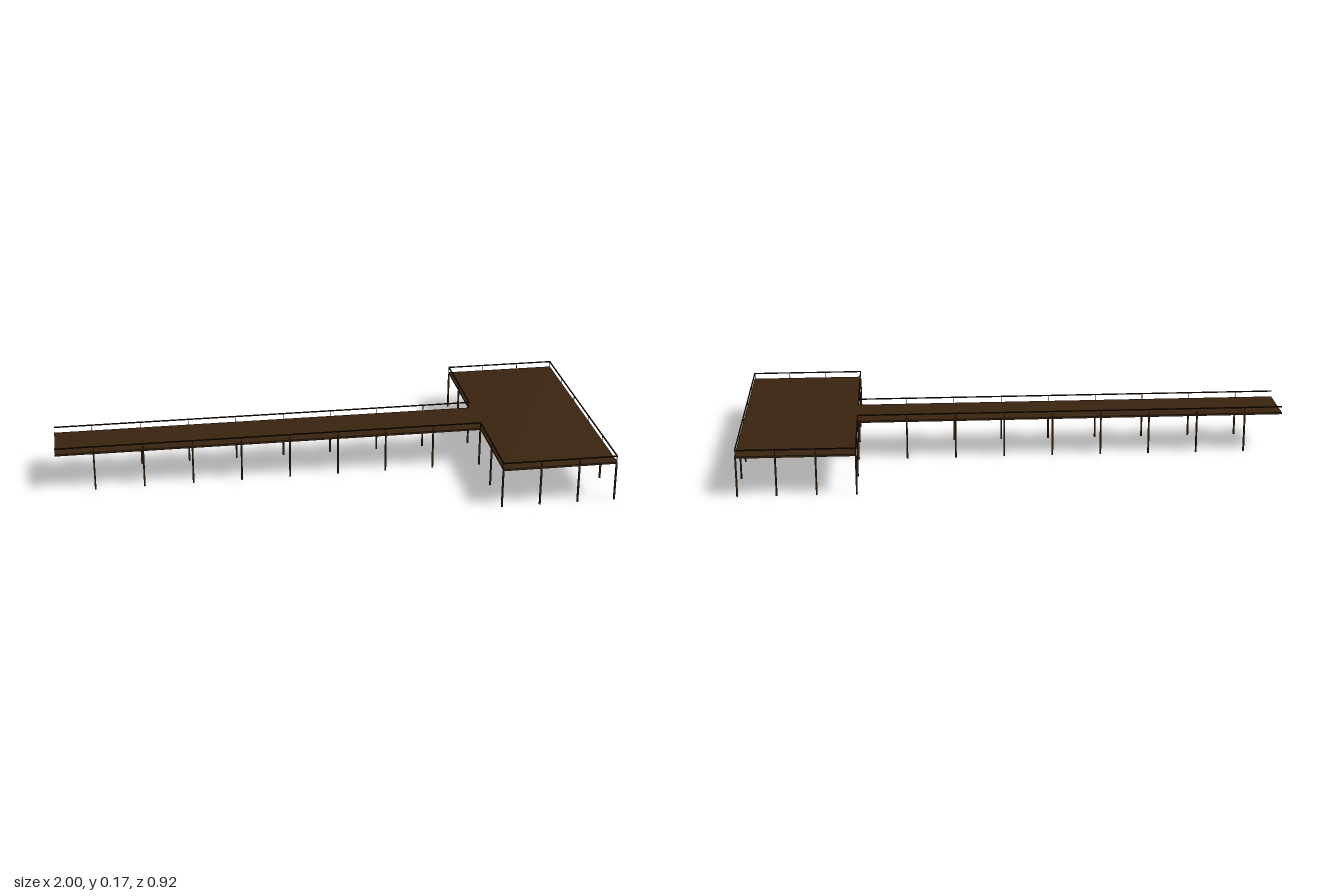
import * as THREE from 'three';

export function createModel() {
  const model = new THREE.Group();
  model.name = 'pier';
  const wood = new THREE.MeshStandardMaterial({ name: 'dark brown wood', color: 0x3a2410 });
  const trim = new THREE.MeshStandardMaterial({ name: 'blackened wood', color: 0x21150a });

  // Box given by its minimum and maximum corners
  const box = (name, material, x0, x1, y0, y1, z0, z1) => {
    const mesh = new THREE.Mesh(new THREE.BoxGeometry(x1 - x0, y1 - y0, z1 - z0), material);
    mesh.position.set((x0 + x1) / 2, (y0 + y1) / 2, (z0 + z1) / 2);
    mesh.name = name;
    model.add(mesh);
  };

  const deckTop = 0.149, deckBottom = 0.142, railTop = 0.173;
  const joint = 0.58, halfWalk = 0.098, halfHead = 0.458;

  // T-shaped deck
  box('walkwayDeck', wood, -1, joint, deckBottom, deckTop, -halfWalk, halfWalk);
  box('headDeck', wood, joint, 1, deckBottom, deckTop, -halfHead, halfHead);

  // Piles with a thin rail post above each; a Set avoids doubled corners
  const spots = new Set();
  for (const side of [-1, 1]) {
    for (let i = 0; i < 9; i++) spots.add(`${-0.86 + i * 0.18 > 0.57 ? joint : (-0.86 + i * 0.18).toFixed(3)},${side * (halfWalk - 0.001)}`);
    for (const x of [joint, 0.72, 0.86, 0.997]) spots.add(`${x},${side * (halfHead - 0.002)}`);
    for (const z of [halfWalk - 0.001, 0.277]) {
      spots.add(`${joint},${side * z}`);
      spots.add(`0.997,${side * z}`);
    }
  }
  for (const spot of spots) {
    const [x, z] = spot.split(',').map(Number);
    box('pile', wood, x - 0.003, x + 0.003, 0, deckBottom, z - 0.003, z + 0.003);
    box('railPost', trim, x - 0.001, x + 0.001, deckTop, railTop - 0.003, z - 0.001, z + 0.001);
  }

  // Handrails around every edge, open at the shore end and the junction
  const rail = (x0, z0, x1, z1) => box('handrail', trim,
    Math.min(x0, x1) - 0.002, Math.max(x0, x1) + 0.002, railTop - 0.004, railTop,
    Math.min(z0, z1) - 0.002, Math.max(z0, z1) + 0.002);
  for (const side of [-1, 1]) {
    const w = side * (halfWalk - 0.001), h = side * (halfHead - 0.002);
    rail(-0.998, w, joint, w);
    rail(joint, w, joint, h);
    rail(joint, h, 0.998, h);
  }
  rail(0.998, -halfHead + 0.002, 0.998, halfHead - 0.002);

  return model;
}
